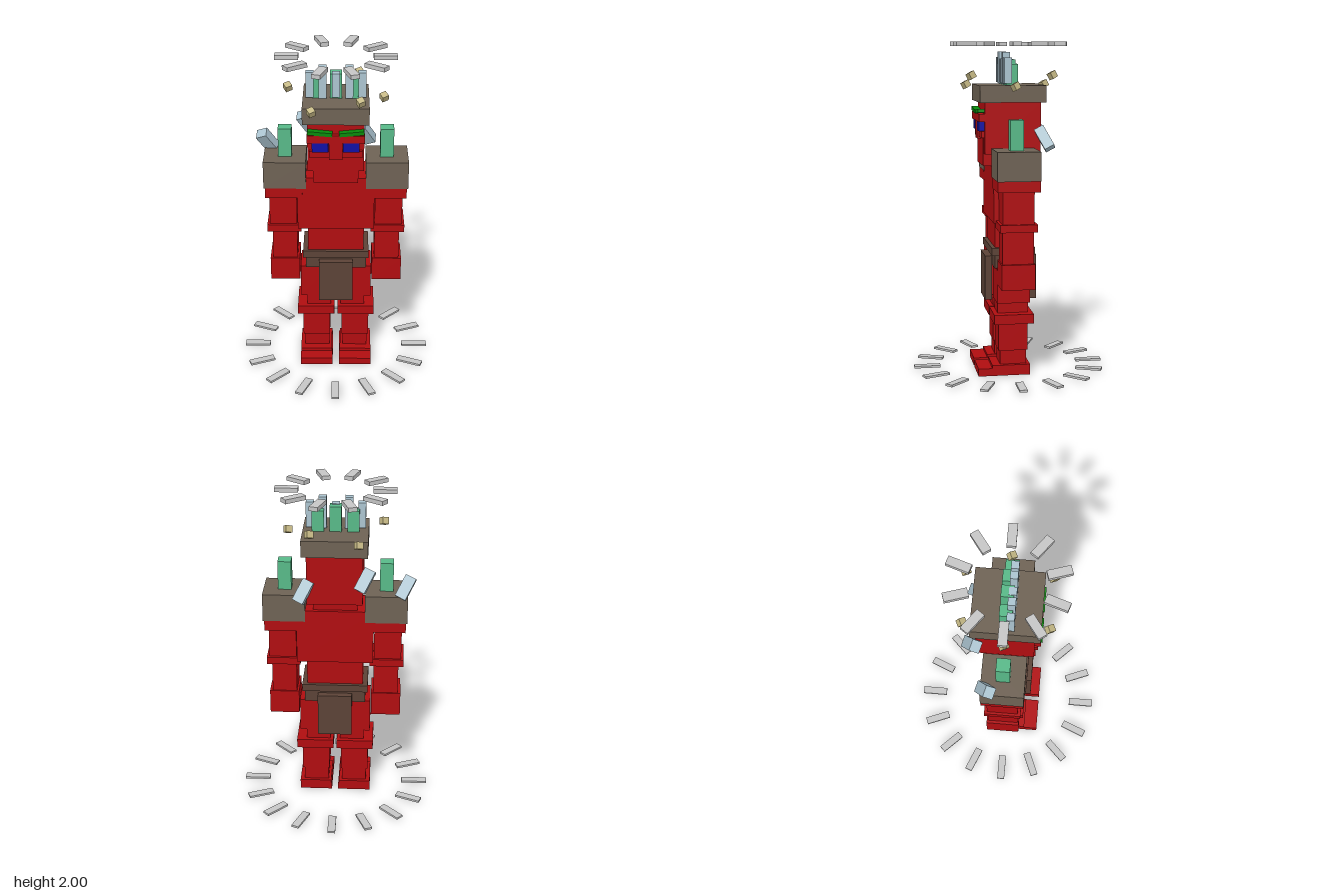
import * as THREE from 'three';

const mat = (name, color) => {
  const m = new THREE.MeshStandardMaterial({ color });
  m.name = name;
  return m;
};

export function createModel() {
  const root = new THREE.Group();
  root.name = 'armouredFigure';
  const red = mat('red', 0xb00d10), brown = mat('greyBrown', 0x6e6254), leather = mat('darkLeather', 0x5c4337);
  const green = mat('crystalGreen', 0x58b988), blue = mat('paleBlue', 0xabc4d0), gold = mat('paleGold', 0xc4b784);
  const grey = mat('lightGrey', 0xc6c6c6), eyeBlue = mat('eyeBlue', 0x0f0fa5), browGreen = mat('browGreen', 0x078a0a);

  // box from its limits on each axis
  const box = (name, m, x0, x1, y0, y1, z0, z1, parent = root) => {
    const mesh = new THREE.Mesh(new THREE.BoxGeometry(x1 - x0, y1 - y0, z1 - z0), m);
    mesh.position.set((x0 + x1) / 2, (y0 + y1) / 2, (z0 + z1) / 2);
    mesh.name = name;
    parent.add(mesh);
    return mesh;
  };
  // the same box on both sides
  const pair = (name, m, x0, x1, ...rest) => {
    box(name + 'Left', m, x0, x1, ...rest);
    box(name + 'Right', m, -x1, -x0, ...rest);
  };

  // legs
  pair('foot', red, 0.02, 0.222, 0, 0.046, -0.1, 0.215);
  pair('instep', red, 0.025, 0.222, 0.046, 0.064, -0.1, 0.13);
  pair('ankle', red, 0.042, 0.196, 0.06, 0.15, -0.08, 0.08);
  pair('calf', red, 0.037, 0.206, 0.15, 0.32, -0.087, 0.09);
  pair('knee', red, 0.01, 0.238, 0.32, 0.378, -0.12, 0.12);
  pair('lowerThigh', red, 0.03, 0.178, 0.378, 0.445, -0.092, 0.092);
  pair('thigh', red, 0.028, 0.217, 0.445, 0.658, -0.1, 0.1);

  // hips
  box('skirt', leather, -0.185, 0.185, 0.655, 0.735, -0.11, 0.11);
  box('belt', leather, -0.2, 0.2, 0.735, 0.78, -0.13, 0.13);
  box('frontCloth', leather, -0.104, 0.104, 0.445, 0.717, 0.117, 0.158);
  box('backCloth', leather, -0.104, 0.104, 0.445, 0.717, -0.155, -0.115);

  // torso
  box('waist', red, -0.17, 0.17, 0.78, 0.935, -0.107, 0.107);
  box('chest', red, -0.23, 0.23, 0.935, 1.273, -0.122, 0.122);

  // arms
  pair('upperArm', red, 0.235, 0.4, 0.945, 1.145, -0.093, 0.093);
  pair('shoulderBand', red, 0.2, 0.422, 1.142, 1.207, -0.125, 0.125);
  pair('elbow', red, 0.21, 0.415, 0.907, 0.952, -0.11, 0.11);
  pair('forearm', red, 0.235, 0.385, 0.71, 0.907, -0.092, 0.092);
  pair('hand', red, 0.222, 0.402, 0.565, 0.715, -0.1, 0.1);
  pair('shoulderPad', brown, 0.178, 0.43, 1.205, 1.375, -0.127, 0.127);
  pair('shoulderCrystal', green, 0.263, 0.343, 1.375, 1.552, -0.04, 0.04);

  // head and face
  box('head', red, -0.165, 0.165, 1.34, 1.645, -0.17, 0.165);
  box('jaw', red, -0.132, 0.132, 1.268, 1.43, -0.1, 0.172);
  box('browRidge', red, -0.168, 0.168, 1.532, 1.578, 0.16, 0.2);
  box('nose', red, -0.04, 0.04, 1.425, 1.535, 0.16, 0.195);
  pair('cheek', red, 0.04, 0.155, 1.435, 1.475, 0.16, 0.185);
  pair('eye', eyeBlue, 0.043, 0.138, 1.475, 1.532, 0.16, 0.197);
  for (const s of [-1, 1]) {
    const brow = box('eyebrow', browGreen, -0.072, 0.072, -0.011, 0.011, -0.02, 0.02);
    brow.position.set(s * 0.092, 1.591, 0.186);
    brow.rotation.z = s * 0.09;
  }
  box('hat', brown, -0.193, 0.193, 1.645, 1.745, -0.197, 0.197);

  // crown of crystals
  [-1, 0, 1].forEach((i) => box('crownCrystal', green, i * 0.103 - 0.035, i * 0.103 + 0.035,
    1.745, i ? 1.87 : 1.895, -0.037, 0.035));
  [[0, 1.755, 1.9], [0.077, 1.75, 1.94], [0.152, 1.755, 1.907]].forEach(([x, y0, y1]) => {
    for (const s of x ? [-1, 1] : [1]) {
      box('crownSpike', blue, s * x - 0.023, s * x + 0.023, y0, y1, 0.006, 0.05);
    }
  });

  // slanted shards on the back of the head and one shoulder
  const up = new THREE.Vector3(-0.45, 0.8, 0.4).normalize();
  const across = new THREE.Vector3(0.9, 0.37, 0.27).normalize();
  const out = new THREE.Vector3().crossVectors(across, up).normalize();
  across.crossVectors(up, out);
  const tilt = new THREE.Matrix4().makeBasis(across, up, out);
  [[-0.177, 1.505, -0.19], [0.18, 1.43, -0.19], [-0.415, 1.425, -0.094]].forEach((p) => {
    const shard = box('backShard', blue, -0.034, 0.034, -0.07, 0.07, -0.031, 0.031);
    shard.position.set(...p);
    shard.quaternion.setFromRotationMatrix(tilt);
  });

  // small cubes floating round the hat
  for (let i = 0; i < 6; i++) {
    const a = (i * Math.PI) / 3;
    const cube = box('floatingCube', gold, -0.02, 0.02, -0.02, 0.02, -0.02, 0.02);
    cube.position.set(Math.cos(a) * 0.28, i % 2 ? 1.803 : 1.742, Math.sin(a) * 0.28);
    cube.rotation.set(0.5, 0.5, 0);
  }

  // rings of radial bars above the head and round the feet
  const ring = (name, count, r0, r1, width, y0, y1) => {
    const group = new THREE.Group();
    group.name = name;
    for (let i = 0; i < count; i++) {
      const arm = new THREE.Group();
      arm.rotation.y = (i * 2 * Math.PI) / count;
      box(name + 'Bar', grey, r0, r1, y0, y1, -width / 2, width / 2, arm);
      group.add(arm);
    }
    root.add(group);
  };
  ring('halo', 10, 0.216, 0.352, 0.052, 1.975, 2);
  ring('groundRing', 16, 0.427, 0.587, 0.047, 0.008, 0.021);

  return root;
}
